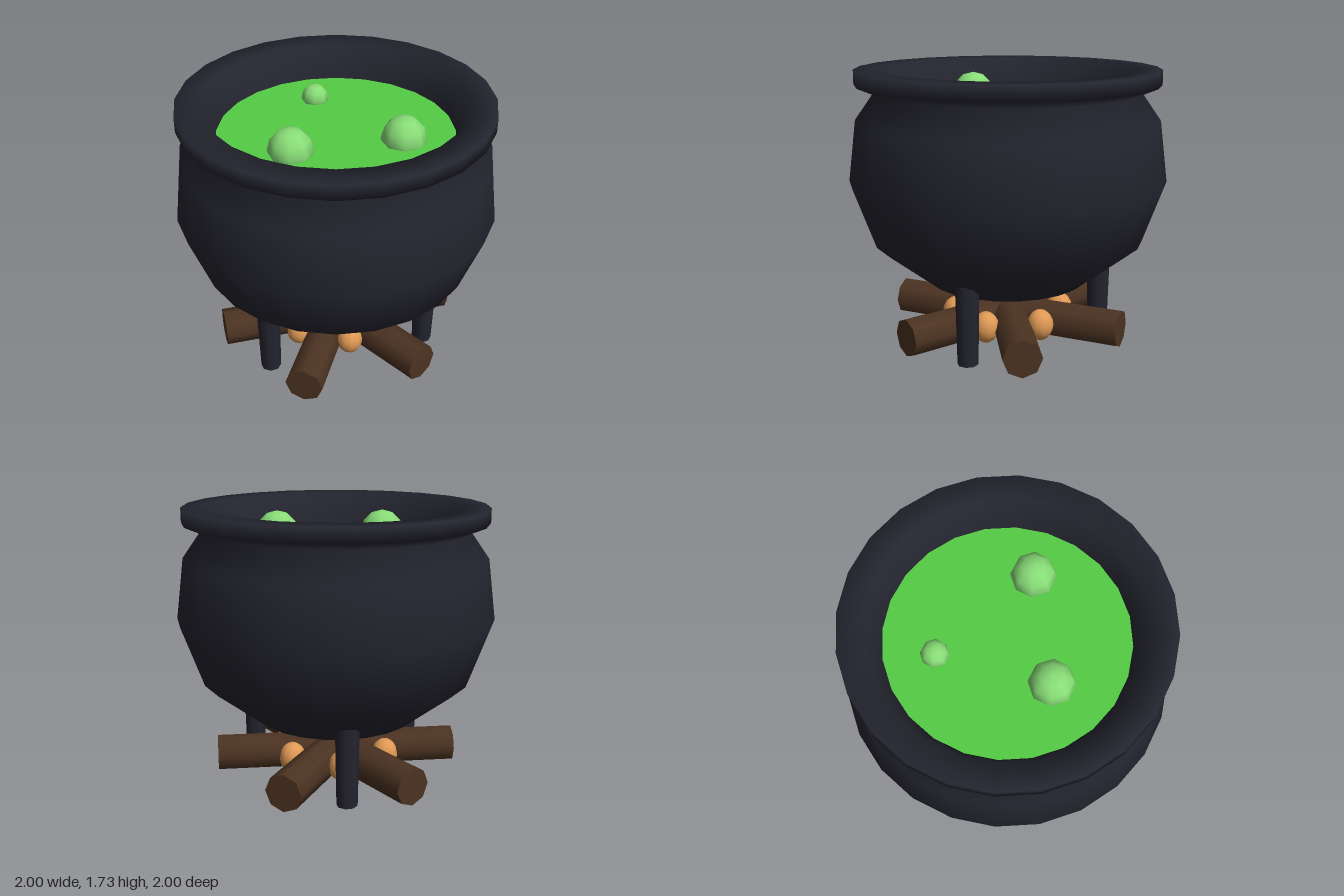
import * as THREE from 'three';

const material = (name, color, side = THREE.FrontSide) => {
  const m = new THREE.MeshStandardMaterial({ color, side });
  m.name = name;
  return m;
};

export function createModel() {
  const group = new THREE.Group();
  const iron = material('black iron', 0x24242f);
  const ironShell = material('black iron', 0x24242f, THREE.DoubleSide);
  ironShell.name = 'black iron shell';
  const brew = material('green brew', 0x55cc44);
  const froth = material('pale green bubble', 0x88dd77);
  const wood = material('brown wood', 0x4c3322);
  const glow = material('orange ember', 0xe09a55);

  const add = (name, geometry, mat, x = 0, y = 0, z = 0) => {
    const mesh = new THREE.Mesh(geometry, mat);
    mesh.name = name;
    mesh.position.set(x, y, z);
    group.add(mesh);
    return mesh;
  };

  // Pot: rounded belly, flared rim and inner wall down to the brew
  const profile = [
    [0, 0.355], [0.52, 0.385], [0.865, 0.66], [1, 1.04], [0.95, 1.42],
    [0.83, 1.59], [0.95, 1.64], [0.95, 1.73], [0.79, 1.73], [0.72, 1.515],
  ].map(([x, y]) => new THREE.Vector2(x, y));
  add('pot', new THREE.LatheGeometry(profile, 24), ironShell);

  // Brew surface
  const surface = new THREE.CircleGeometry(0.722, 24).rotateX(-Math.PI / 2);
  add('brew', surface, brew, 0, 1.52, 0);

  // Bubbles
  for (const [x, z, r] of [[-0.38, -0.19, 0.085], [0.37, -0.195, 0.137], [0.005, 0.375, 0.137]]) {
    add('bubble', new THREE.SphereGeometry(r, 8, 6), froth, x, 1.54, z);
  }

  // Three legs, running up into the belly
  for (let i = 0; i < 3; i++) {
    const a = (i * Math.PI * 2) / 3;
    const leg = new THREE.CylinderGeometry(0.075, 0.065, 0.55, 8);
    add('leg', leg, iron, 0.605 * Math.sin(a), 0.275, 0.605 * Math.cos(a));
  }

  // Three crossed logs
  for (let i = 0; i < 3; i++) {
    const log = new THREE.CylinderGeometry(0.12, 0.12, 1.55, 8).rotateZ(Math.PI / 2);
    add('log', log, wood, 0, 0.125, 0).rotation.y = (i * Math.PI) / 3;
  }

  // Embers in the gaps between the logs
  for (let i = 0; i < 6; i++) {
    const a = (i * Math.PI) / 3 + Math.PI / 6;
    const ember = new THREE.SphereGeometry(0.085, 10, 8).scale(1, 1.18, 1);
    add('ember', ember, glow, 0.345 * Math.cos(a), 0.14, 0.345 * Math.sin(a));
  }
  return group;
}
